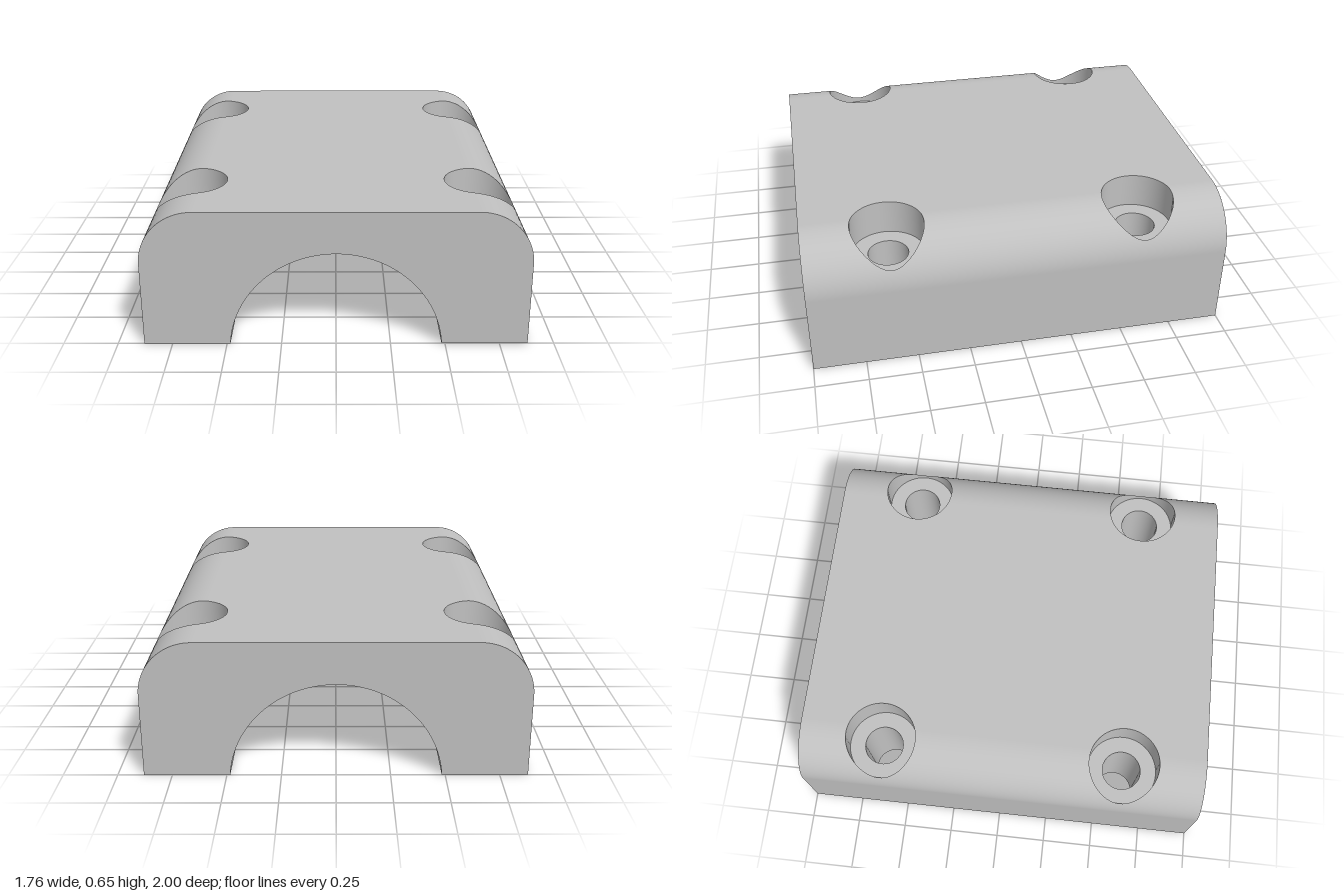
import * as THREE from 'three';

const W = 0.88, H = 0.65, R = 0.25;          // half width, height, shoulder radius
const ARCH_R = 0.486, ARCH_Y = -0.036;       // saddle arch
const FOOT = Math.sqrt(ARCH_R ** 2 - ARCH_Y ** 2);
const HX = 0.685, HZ = 0.6;                  // bolt hole centres
const BORE_R = 0.172, HOLE_R = 0.095, FLOOR = 0.48;
const SEG = 64;

// Sine of the shoulder slope and the top height at x
const slope = (x) => Math.min(1, Math.max(0, (Math.abs(x) - (W - R)) / R));
const topY = (x) => H - R + R * Math.sqrt(1 - slope(x) ** 2);

// Builds a grid of rows of points with given normals
function grid(rows) {
  const pos = [], nor = [], idx = [];
  const n = rows[0].length;
  rows.forEach((row) => row.forEach(({ p, n: v }) => { pos.push(...p); nor.push(...v); }));
  for (let i = 0; i < rows.length - 1; i++) {
    for (let j = 0; j < n - 1; j++) {
      const a = i * n + j, b = a + n;
      idx.push(a, a + 1, b + 1, a, b + 1, b);
    }
  }
  const g = new THREE.BufferGeometry();
  g.setAttribute('position', new THREE.Float32BufferAttribute(pos, 3));
  g.setAttribute('normal', new THREE.Float32BufferAttribute(nor, 3));
  g.setIndex(idx);
  return g;
}

// Columns across the top: around each bore, then down the rest of the shoulder
function topColumns() {
  const half = [];
  for (let i = 0; i <= SEG / 2; i++) half.push(HX - BORE_R * Math.cos((i / SEG) * 2 * Math.PI));
  const a0 = Math.asin(slope(HX + BORE_R));
  for (let i = 1; i <= 8; i++) half.push(W - R + R * Math.sin(a0 + (Math.PI / 2 - a0) * i / 8));
  return [...half.map((x) => -x).reverse(), ...half];
}

// One strip of the top between two z limits, which may follow the bore edges
function topStrip(z0, z1) {
  return grid(topColumns().map((x) => {
    const h = Math.sqrt(Math.max(0, BORE_R ** 2 - (Math.abs(x) - HX) ** 2));
    const s = slope(x);
    const n = [Math.sign(x) * s, Math.sqrt(1 - s * s), 0];
    return [{ p: [x, topY(x), z0(h)], n }, { p: [x, topY(x), z1(h)], n }];
  }));
}

// Bore wall cut off by the curved top, facing its axis
function boreWall(cx, cz) {
  const rows = [];
  for (let i = 0; i <= SEG; i++) {
    const t = (i / SEG) * 2 * Math.PI, c = Math.cos(t), s = Math.sin(t);
    const x = cx + BORE_R * c, z = cz + BORE_R * s, n = [-c, 0, -s];
    rows.push([{ p: [x, topY(x), z], n }, { p: [x, FLOOR, z], n }]);
  }
  return grid(rows);
}

// Arched end face
function endShape() {
  const s = new THREE.Shape();
  const a = Math.asin(-ARCH_Y / ARCH_R);
  s.moveTo(FOOT, 0);
  s.lineTo(W, 0);
  s.lineTo(W, H - R);
  s.absarc(W - R, H - R, R, 0, Math.PI / 2, false);
  s.lineTo(-(W - R), H);
  s.absarc(-(W - R), H - R, R, Math.PI / 2, Math.PI, false);
  s.lineTo(-W, 0);
  s.lineTo(-FOOT, 0);
  s.absarc(0, ARCH_Y, ARCH_R, Math.PI - a, a, true);
  return s;
}

// Foot sole with two holes
function soleShape(side) {
  const s = new THREE.Shape();
  const x0 = side > 0 ? FOOT : -W, x1 = side > 0 ? W : -FOOT;
  s.moveTo(x0, -1); s.lineTo(x1, -1); s.lineTo(x1, 1); s.lineTo(x0, 1); s.closePath();
  for (const z of [-HZ, HZ]) s.holes.push(new THREE.Path().absarc(side * HX, z, HOLE_R, 0, Math.PI * 2, true));
  return s;
}

export function createModel() {
  const group = new THREE.Group();
  const grey = new THREE.MeshStandardMaterial({ color: 0xc0c0c0, side: THREE.DoubleSide });
  grey.name = 'grey';
  const add = (name, geometry) => {
    const m = new THREE.Mesh(geometry, grey);
    m.name = name;
    group.add(m);
    return m;
  };

  // Top skin: back, middle and front strips, open at the bores, plus webs between them
  add('topBack', topStrip(() => -1, (h) => -HZ - h));
  add('topMiddle', topStrip((h) => -HZ + h, (h) => HZ - h));
  add('topFront', topStrip((h) => HZ + h, () => 1));

  // End faces
  add('frontFace', new THREE.ShapeGeometry(endShape(), 32).translate(0, 0, 1));
  add('backFace', new THREE.ShapeGeometry(endShape(), 32).rotateY(Math.PI).translate(0, 0, -1));

  // Saddle arch
  const half = Math.acos(-ARCH_Y / ARCH_R);
  add('saddleArch', new THREE.CylinderGeometry(ARCH_R, ARCH_R, 2, SEG, 1, true, -half, 2 * half)
    .rotateX(-Math.PI / 2).translate(0, ARCH_Y, 0));

  for (const side of [-1, 1]) {
    // Outer wall and sole of each foot
    add('sideWall', new THREE.PlaneGeometry(2, H - R)
      .rotateY(side * Math.PI / 2).translate(side * W, (H - R) / 2, 0));
    add('sole', new THREE.ShapeGeometry(soleShape(side), 32).rotateX(Math.PI / 2));

    // Counterbored bolt holes
    for (const z of [-HZ, HZ]) {
      const x = side * HX;
      add('boreWall', boreWall(x, z));
      add('boreFloor', new THREE.RingGeometry(HOLE_R, BORE_R, SEG)
        .rotateX(-Math.PI / 2).translate(x, FLOOR, z));
      add('boltHole', new THREE.CylinderGeometry(HOLE_R, HOLE_R, FLOOR, SEG, 1, true)
        .translate(x, FLOOR / 2, z));
    }
  }
  return group;
}
